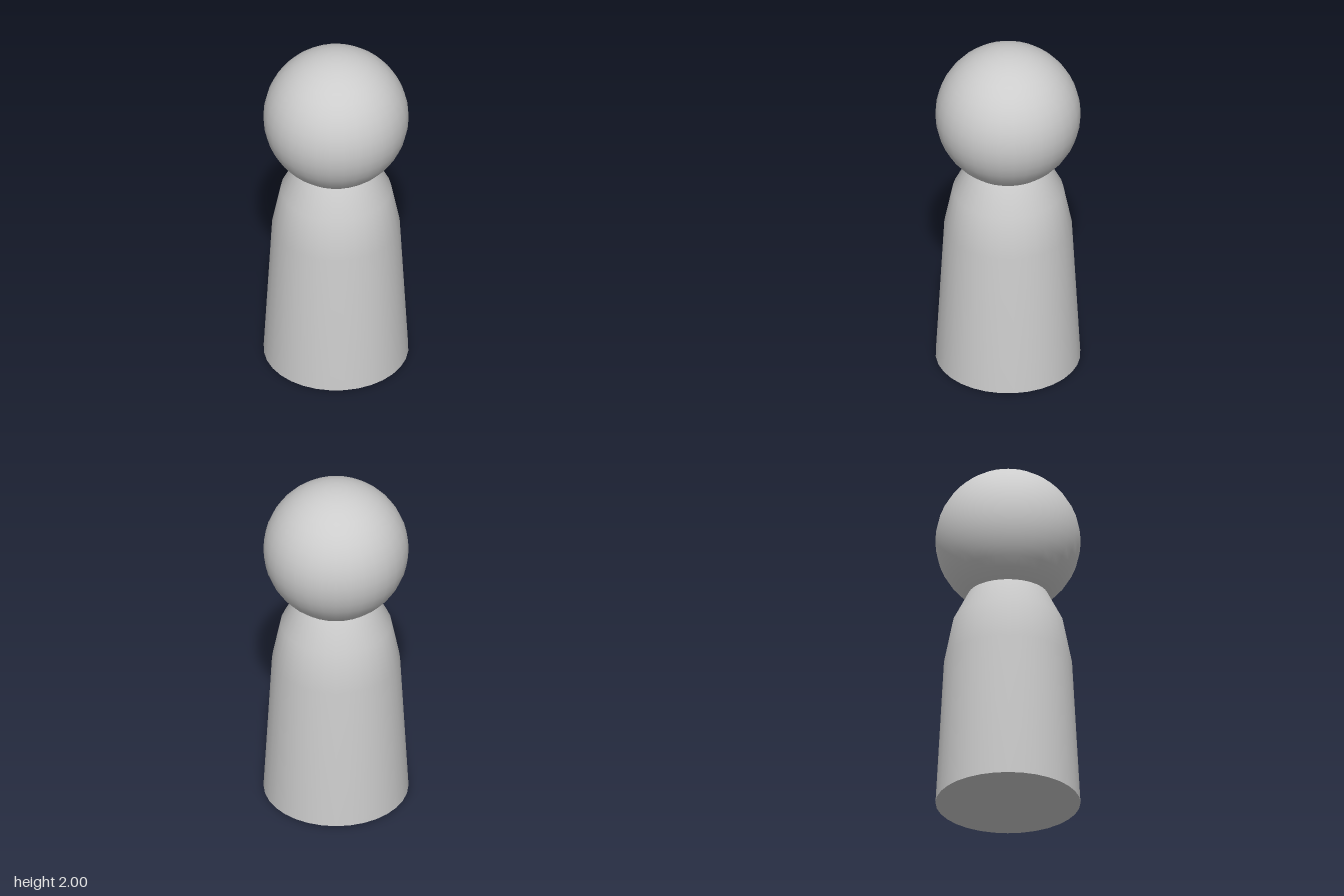
import * as THREE from 'three';

export function createModel() {
  const group = new THREE.Group();
  const grey = new THREE.MeshStandardMaterial({ color: 0xcccccc });
  grey.name = 'light grey';

  const add = (name, geometry, y) => {
    const mesh = new THREE.Mesh(geometry, grey);
    mesh.name = name;
    mesh.position.y = y;
    group.add(mesh);
  };

  // Tapered body with sloping shoulders, meeting the head at the neck
  const profile = [[0.402, 0], [0.355, 0.86], [0.307, 1.1], [0.222, 1.265]];
  add('body', new THREE.LatheGeometry(profile.map(([r, y]) => new THREE.Vector2(r, y)), 32), 0);

  // Flat underside
  add('base', new THREE.CircleGeometry(0.402, 32).rotateX(Math.PI / 2), 0);

  // Round head
  add('head', new THREE.SphereGeometry(0.403, 32, 20), 1.597);

  return group;
}
